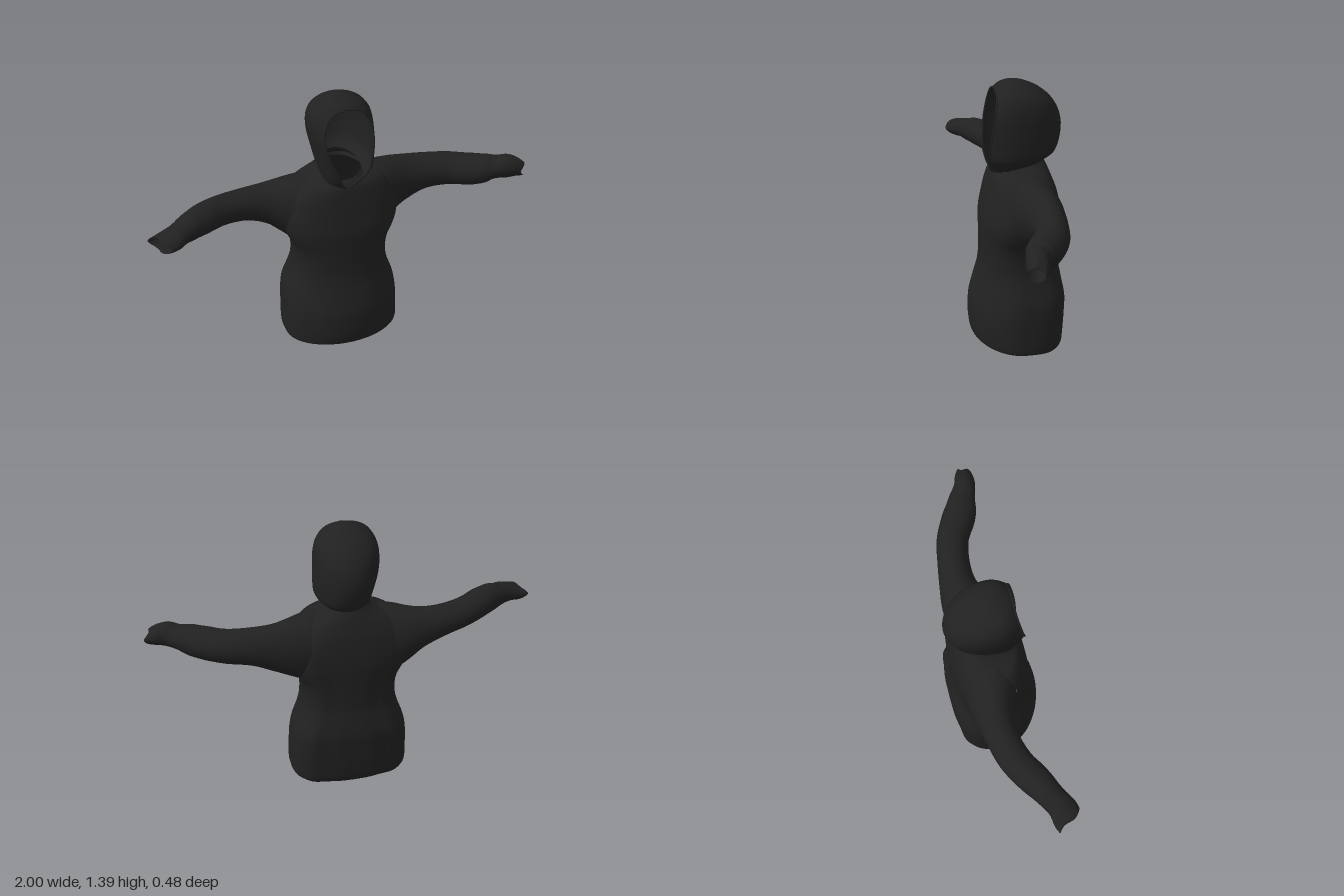
import * as THREE from 'three';

const fabric = new THREE.MeshStandardMaterial({ color: 0x212121, side: THREE.DoubleSide });
fabric.name = 'black fabric';
const bend = (v, power) => Math.sign(v) * Math.pow(Math.abs(v), power);

// Smoothly resample a short table of section values
function resample(rows, steps) {
  const out = [];
  const at = k => rows[THREE.MathUtils.clamp(k, 0, rows.length - 1)];
  for (let i = 0; i < rows.length - 1; i++) {
    const n = i === rows.length - 2 ? steps + 1 : steps;
    for (let s = 0; s < n; s++) {
      const t = s / steps;
      out.push(rows[i].map((b, c) => {
        const a = at(i - 1)[c], d = at(i + 1)[c], e = at(i + 2)[c];
        return 0.5 * (2 * b + (d - a) * t + (2 * a - 5 * b + 4 * d - e) * t * t + (3 * b - a - 3 * d + e) * t * t * t);
      }));
    }
  }
  return out;
}

// Skin a list of equal-length point rows, leaving out faces hidden inside another part
function skin(name, rows, closed, hidden = () => false) {
  const n = rows[0].length, points = rows.flat(), index = [];
  const cut = points.map(hidden);
  const face = (...f) => { if (!f.every(v => cut[v])) index.push(...f); };
  for (let i = 0; i < rows.length - 1; i++) {
    for (let j = 0; j < (closed ? n : n - 1); j++) {
      const a = i * n + j, b = i * n + (j + 1) % n;
      face(a, b, a + n);
      face(b, b + n, a + n);
    }
  }
  const g = new THREE.BufferGeometry();
  g.setAttribute('position', new THREE.Float32BufferAttribute(points.flat(), 3));
  g.setIndex(index);
  g.computeVertexNormals();
  const mesh = new THREE.Mesh(g, fabric);
  mesh.name = name;
  return mesh;
}

// Torso sections: y, half width, front z, back z, forward tilt, front roundness, back roundness
const torsoRows = [
  [0.07, 0.280, 0.205, -0.195, 0.015, 1, 0.62],
  [0.03, 0.290, 0.212, -0.197, 0.015, 1, 0.62],
  [0.022, 0.302, 0.224, -0.207, 0.015, 1, 0.62],
  [0.05, 0.306, 0.234, -0.222, 0.012, 1, 0.60],
  [0.12, 0.304, 0.240, -0.228, 0.005, 1, 0.57],
  [0.22, 0.300, 0.234, -0.233, 0, 1, 0.55],
  [0.30, 0.288, 0.216, -0.235, 0, 1, 0.55],
  [0.38, 0.260, 0.195, -0.224, 0, 0.95, 0.60],
  [0.45, 0.244, 0.182, -0.212, 0, 0.90, 0.65],
  [0.53, 0.242, 0.177, -0.210, 0, 0.85, 0.66],
  [0.59, 0.255, 0.176, -0.210, 0, 0.83, 0.64],
  [0.64, 0.280, 0.175, -0.211, 0, 0.82, 0.62],
  [0.70, 0.300, 0.171, -0.212, 0, 0.82, 0.60],
  [0.78, 0.300, 0.155, -0.206, 0, 0.83, 0.60],
  [0.86, 0.275, 0.138, -0.192, 0, 0.84, 0.65],
  [0.92, 0.225, 0.122, -0.172, 0, 0.88, 0.75],
  [0.95, 0.160, 0.110, -0.157, -0.01, 0.92, 0.85],
  [0.972, 0.118, 0.100, -0.142, -0.02, 0.95, 0.92],
  [0.99, 0.105, 0.088, -0.132, -0.03, 0.95, 0.95],
];
const torsoSections = resample(torsoRows, 4);

// Sleeve sections: back x, back z, front x, front z, bottom y, top y
const sharedShoulder = [
  [0.10, -0.12, 0.10, 0.05, 0.68, 0.955],
  [0.19, -0.178, 0.19, 0.085, 0.595, 0.951],
  [0.25, -0.185, 0.245, 0.075, 0.600, 0.942],
];
const leftSleeve = resample([
  ...sharedShoulder,
  [0.31, -0.182, 0.30, 0.045, 0.630, 0.934],
  [0.38, -0.172, 0.38, 0.015, 0.668, 0.922],
  [0.50, -0.152, 0.48, 0.012, 0.715, 0.912],
  [0.63, -0.125, 0.59, 0.035, 0.730, 0.904],
  [0.74, -0.075, 0.68, 0.09, 0.738, 0.902],
  [0.81, -0.03, 0.75, 0.117, 0.752, 0.904],
  [0.86, 0.005, 0.80, 0.124, 0.777, 0.900],
  [0.90, 0.035, 0.86, 0.142, 0.784, 0.911],
  [0.95, 0.055, 0.91, 0.148, 0.788, 0.898],
  [0.99, 0.078, 0.95, 0.148, 0.790, 0.868],
  [0.975, 0.082, 0.935, 0.142, 0.797, 0.860],
], 5);
const rightSleeve = resample([
  ...sharedShoulder,
  [0.31, -0.180, 0.30, 0.045, 0.645, 0.929],
  [0.38, -0.168, 0.38, 0.015, 0.706, 0.917],
  [0.50, -0.148, 0.48, 0.012, 0.752, 0.914],
  [0.62, -0.118, 0.59, 0.04, 0.774, 0.920],
  [0.73, -0.065, 0.68, 0.09, 0.786, 0.930],
  [0.81, -0.01, 0.76, 0.125, 0.792, 0.927],
  [0.87, 0.03, 0.81, 0.148, 0.800, 0.908],
  [0.91, 0.048, 0.85, 0.175, 0.798, 0.897],
  [0.96, 0.058, 0.89, 0.190, 0.796, 0.880],
  [0.99, 0.072, 0.915, 0.195, 0.803, 0.872],
  [0.975, 0.08, 0.91, 0.185, 0.808, 0.865],
], 5);

// Tests that open the armholes: is a point inside the torso, or inside a sleeve
const nearest = (rows, v) => rows.reduce((m, r) => (Math.abs(r[0] - v) < Math.abs(m[0] - v) ? r : m));
function inTorso([x, y, z]) {
  const [, w, zf, zb, , pf, pb] = nearest(torsoSections.slice(12), y);
  const dz = z - (zf + zb) / 2, q = 2 / (dz > 0 ? pf : pb);
  return y < 0.98 && Math.abs(x / w) ** q + Math.abs(2 * dz / (zf - zb)) ** q < 1;
}
function inSleeve([x, y, z]) {
  const [, zb, , zf, y0, y1] = nearest(x > 0 ? leftSleeve : rightSleeve, Math.abs(x));
  return Math.abs(x) > 0.12 && Math.hypot((2 * z - zf - zb) / (zf - zb), (2 * y - y0 - y1) / (y1 - y0)) < 1;
}

function torsoPoint([y, w, zf, zb, tilt, pf, pb], a, out = 0) {
  const c = Math.cos(a), power = c > 0 ? pf : pb;
  const mid = (zf + zb) / 2, r = (zf - zb) / 2;
  // Soft vertical folds down the back
  const fold = 0.004 * Math.max(0, -c) * Math.cos(a * 10) * THREE.MathUtils.smoothstep(0.9 - y, 0, 0.4);
  return [(w + out) * bend(Math.sin(a), power), y + tilt * c, mid + (r + out + fold) * bend(c, power)];
}

function torso() {
  const n = 96;
  return skin('torso', torsoSections.map(r =>
    Array.from({ length: n }, (_, j) => torsoPoint(r, j / n * Math.PI * 2))), true, inSleeve);
}

// Thin front pocket following the belly, narrower at its top
function pocket() {
  const rows = resample(torsoRows.slice(4, 8), 5);
  const n = 24;
  return skin('pocket', rows.map((r, i) => {
    const v = i / (rows.length - 1), half = 0.8 - 0.3 * v;
    const lift = 0.001 + 0.003 * Math.sin(v * Math.PI);
    return Array.from({ length: n + 1 }, (_, j) => {
      const t = j / n * 2 - 1;
      return torsoPoint(r, t * half, lift * Math.sqrt(1 - t ** 8));
    });
  }), false);
}

function sleeve(name, rows, side) {
  const n = 40;
  const sections = rows.map(([xb, zb, xf, zf, y0, y1]) =>
    Array.from({ length: n }, (_, j) => {
      const a = side * j / n * Math.PI * 2, s = Math.sin(a), c = Math.cos(a);
      // Light creases gathered toward the cuff, and a wavy cuff edge
      const gather = THREE.MathUtils.smoothstep(xb, 0.6, 0.9) * 0.025;
      const k = 1 - gather * (0.5 + 0.5 * Math.sin(xb * 75 + a * 2));
      const wave = THREE.MathUtils.smoothstep(xb, 0.9, 0.99) * 0.008 * Math.sin(a * 3);
      return [
        side * ((xb + xf) / 2 + (xf - xb) / 2 * s + wave),
        (y0 + y1) / 2 + (y1 - y0) / 2 * c * k,
        (zb + zf) / 2 + (zf - zb) / 2 * s * k,
      ];
    }));
  return skin(name, sections, true, inTorso);
}

// Hood levels: y, half width, back z, front z, half width of the opening, sideways shift
const hoodRows = [
  [0.885, 0.055, -0.05, 0.106, 0.000, 0],
  [0.925, 0.085, -0.10, 0.114, 0.012, 0],
  [0.965, 0.106, -0.13, 0.130, 0.040, 0.004],
  [0.995, 0.122, -0.150, 0.138, 0.060, 0.012],
  [1.03, 0.138, -0.198, 0.144, 0.080, 0.018],
  [1.09, 0.146, -0.223, 0.141, 0.102, 0.014],
  [1.17, 0.155, -0.233, 0.130, 0.121, 0.006],
  [1.24, 0.158, -0.218, 0.117, 0.122, 0.002],
  [1.30, 0.149, -0.182, 0.106, 0.104, 0],
  [1.34, 0.126, -0.138, 0.099, 0.070, 0],
  [1.36, 0.105, -0.106, 0.094, 0.000, 0],
  [1.38, 0.070, -0.062, 0.060, 0.000, 0],
  [1.392, 0.030, -0.025, 0.025, 0.000, 0],
  [1.395, 0.001, -0.001, 0.001, 0.000, 0],
];

function hood() {
  const group = new THREE.Group();
  group.name = 'hood';
  const n = 56, left = [], right = [];
  const rows = resample(hoodRows, 4).map(([y, w, zb, zf, e, shift]) => {
    const end = Math.PI - Math.asin(THREE.MathUtils.clamp(e / w, 0, 0.98));
    const mid = zb + (zf - zb) * 0.64;
    const row = Array.from({ length: n + 1 }, (_, j) => {
      const a = (j / n * 2 - 1) * end, c = -Math.cos(a);
      const z = c < 0 ? mid + (mid - zb) * bend(c, 0.85) : mid + (zf - mid) * c / -Math.cos(end);
      return [shift - w * Math.sin(a), y, z];
    });
    if (y < 1.361) {
      left.push(new THREE.Vector3(...row[0]));
      right.unshift(new THREE.Vector3(...row[n]));
    }
    return row;
  });
  group.add(skin('hoodShell', rows, false, inTorso));

  // Rolled rim around the face opening
  const path = new THREE.CatmullRomCurve3([...left, ...right.slice(1)]);
  const rim = new THREE.Mesh(new THREE.TubeGeometry(path, 120, 0.005, 8), fabric);
  rim.name = 'hoodRim';
  group.add(rim);
  return group;
}

export function createModel() {
  const model = new THREE.Group();
  model.name = 'hoodedSweater';
  model.add(torso(), pocket(), sleeve('leftSleeve', leftSleeve, 1), sleeve('rightSleeve', rightSleeve, -1), hood());
  return model;
}
